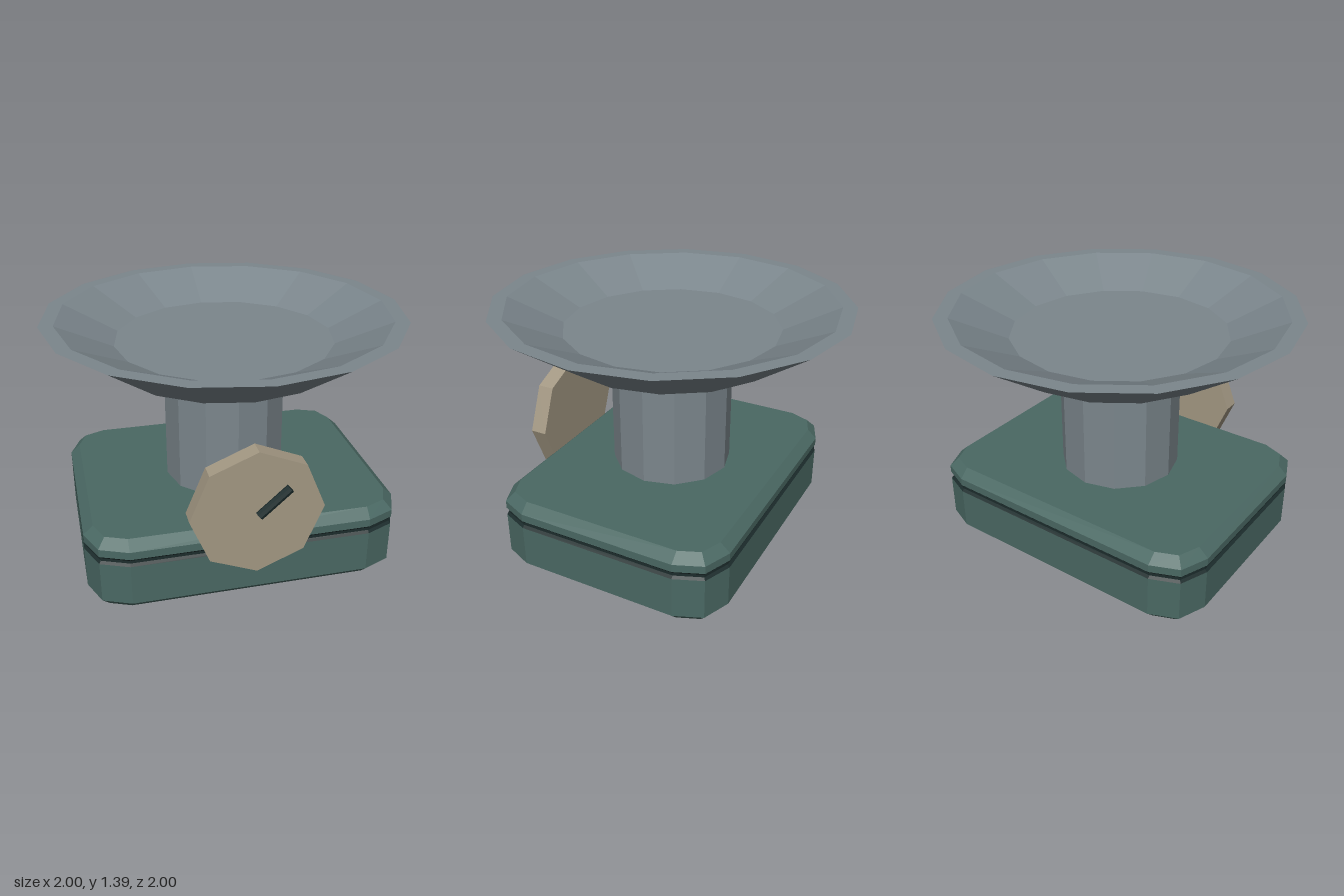
import * as THREE from 'three';

const material = (name, color) => {
  const m = new THREE.MeshStandardMaterial({ color });
  m.name = name;
  return m;
};

// Faceted mesh: unshared corners give every face its own normal
function part(name, geometry, mat) {
  const flat = geometry.index ? geometry.toNonIndexed() : geometry;
  flat.computeVertexNormals();
  const mesh = new THREE.Mesh(flat, mat);
  mesh.name = name;
  return mesh;
}

// Rounded rectangle outline with two-step corners, pulled in by inset
function outline(inset, y) {
  const points = [];
  const r = 0.22 - inset;
  for (let q = 0; q < 4; q++) {
    const cx = q === 0 || q === 3 ? 0.66 : -0.66;
    const cz = q < 2 ? 0.46 : -0.46;
    for (let k = 0; k < 3; k++) {
      const a = (q + k / 2) * Math.PI / 2;
      points.push([cx + r * Math.cos(a), y, cz + r * Math.sin(a)]);
    }
  }
  return points;
}

// Skin stacked outlines [inset, y], with optional end caps
function slab(levels, capBottom, capTop) {
  const rings = levels.map(([inset, y]) => outline(inset, y));
  const out = [];
  const n = rings[0].length;
  const last = rings.length - 1;
  const low = [0, levels[0][1], 0];
  const high = [0, levels[last][1], 0];
  for (let i = 0; i < n; i++) {
    const j = (i + 1) % n;
    for (let k = 0; k < last; k++) {
      const a = rings[k], b = rings[k + 1];
      out.push(...a[i], ...b[i], ...a[j], ...a[j], ...b[i], ...b[j]);
    }
    if (capBottom) out.push(...low, ...rings[0][i], ...rings[0][j]);
    if (capTop) out.push(...high, ...rings[last][j], ...rings[last][i]);
  }
  const g = new THREE.BufferGeometry();
  g.setAttribute('position', new THREE.Float32BufferAttribute(out, 3));
  return g;
}

export function createModel() {
  const model = new THREE.Group();
  model.name = 'kitchenScale';
  const green = material('green enamel', 0x4a6863);
  const grey = material('grey metal', 0x7b868c);
  const cream = material('dial beige', 0xa39883);
  const dark = material('dark trim', 0x1c2c2c);

  // Base: chamfered body, dark seam groove and chamfered lid
  const base = new THREE.Group();
  base.name = 'base';
  base.add(
    part('body', slab([[0.055, 0.005], [0, 0.06], [0, 0.3]], true, false), green),
    part('seam', slab([[0, 0.3], [0.013, 0.314], [0.013, 0.331], [0, 0.345]], false, false), dark),
    part('lid', slab([[0, 0.345], [0, 0.39], [0.055, 0.44]], false, true), green)
  );
  model.add(base);

  // Column
  const column = part('column', new THREE.CylinderGeometry(0.344, 0.344, 0.74, 12), grey);
  column.position.y = 0.8;
  model.add(column);

  // Weighing bowl with a flat rim and shallow floor
  const profile = [[0, 1.16], [0.65, 1.16], [1, 1.4], [0.92, 1.4], [0.61, 1.26], [0, 1.26]]
    .map(([r, y]) => new THREE.Vector2(r, y));
  model.add(part('bowl', new THREE.LatheGeometry(profile, 16), grey));

  // Octagonal dial on the front
  const dialShape = new THREE.CylinderGeometry(0.36, 0.36, 0.095, 8);
  dialShape.rotateX(Math.PI / 2);
  const dial = part('dial', dialShape, cream);
  dial.position.set(0, 0.577, 0.7075);
  model.add(dial);

  // Needle running from the dial centre to the upper right
  const needle = part('needle', new THREE.CylinderGeometry(0.024, 0.024, 0.215, 8), dark);
  needle.position.set(0.08, 0.651, 0.779);
  needle.rotation.z = Math.atan2(0.142, 0.16) - Math.PI / 2;
  model.add(needle);

  return model;
}
